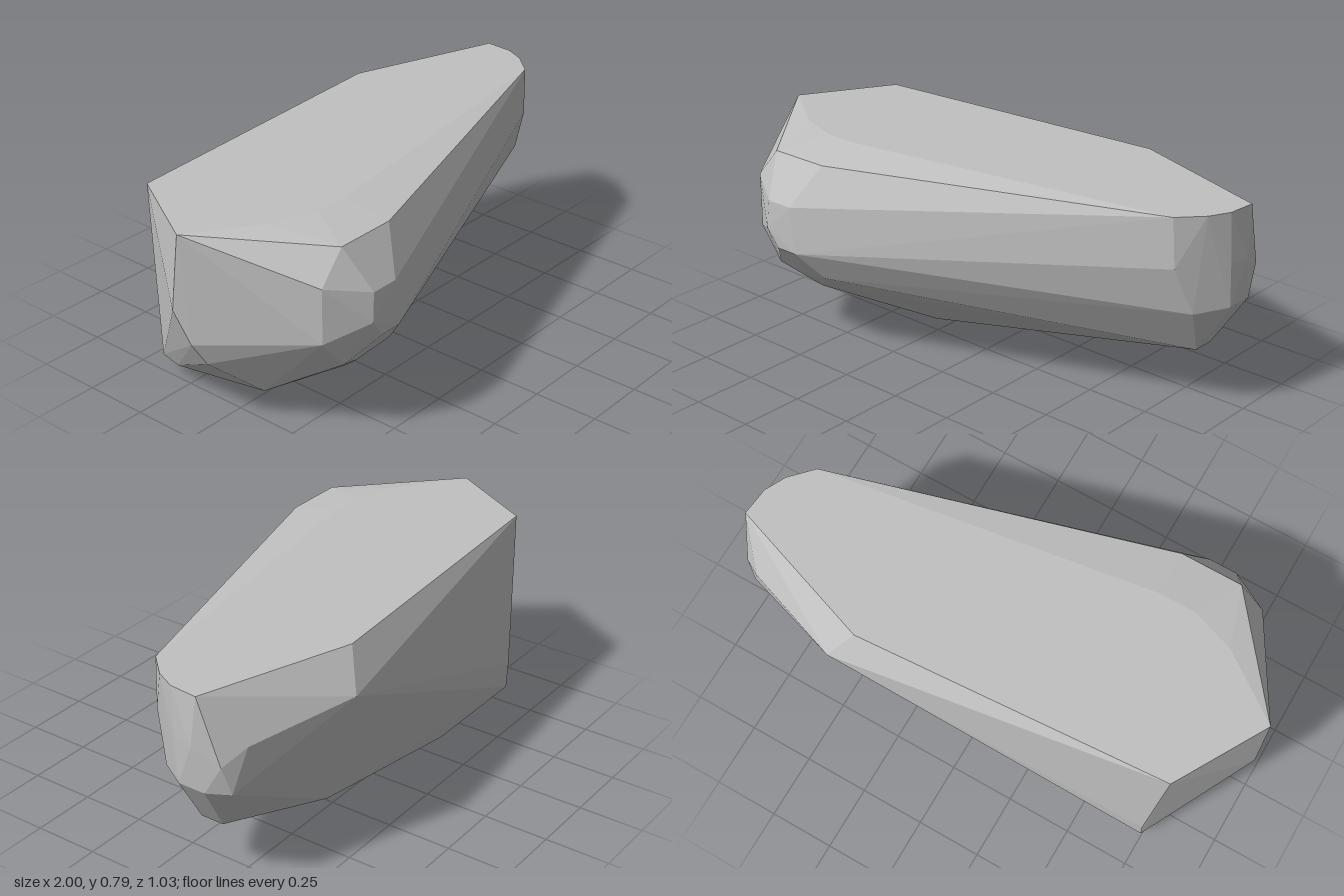
import * as THREE from 'three';
import { ConvexGeometry } from 'three/addons/geometries/ConvexGeometry.js';

export function createModel() {
  const model = new THREE.Group();
  const stone = new THREE.MeshStandardMaterial({ color: 0xc1c1c1, flatShading: true });
  stone.name = 'pale grey stone';

  // flat top outline, with a gentle bulge toward the front
  const topRim = [
    [-1, 0.79, -0.01], [-0.8, 0.79, -0.36], [0.41, 0.79, -0.44], [0.99, 0.79, -0.24],
    [0.98, 0.79, -0.13], [0.94, 0.79, -0.05], [0.86, 0.79, 0.035],
    [-0.44, 0.79, 0.23], [-0.58, 0.79, 0.23], [-0.75, 0.79, 0.17],
  ];
  // blunt front nose
  const nose = [
    [-0.67, 0.757, 0.415], [-0.43, 0.757, 0.415],
    [-0.62, 0.6, 0.51], [-0.51, 0.6, 0.51], [-0.63, 0.49, 0.515],
    [-0.58, 0.42, 0.51], [-0.49, 0.42, 0.51], [-0.77, 0.64, 0.415], [-0.77, 0.43, 0.415],
    [-0.67, 0.31, 0.42], [-0.43, 0.31, 0.42], [-0.57, 0.27, 0.39], [-0.55, 0.21, 0.32],
  ];
  // rounded narrow end
  const narrowEnd = [
    [0.87, 0.6, 0.03], [0.985, 0.6, -0.14], [1, 0.6, -0.22], [0.97, 0.54, -0.32],
    [0.89, 0.6, -0.37], [0.91, 0.42, -0.035], [0.985, 0.43, -0.15],
    [0.985, 0.43, -0.26], [0.94, 0.43, -0.34],
    [0.86, 0.23, -0.14], [0.86, 0.23, -0.23],
  ];
  // broad end and back
  const broadEnd = [
    [-1, 0.49, -0.05], [-0.97, 0.36, 0], [-0.92, 0.27, 0.02],
    [0.49, 0.65, -0.515], [-0.75, 0.18, -0.39],
  ];
  // sloping underside
  const underside = [
    [-0.75, 0.12, 0.12], [-0.77, 0.07, -0.29], [-0.75, 0.07, -0.385],
    [-0.33, 0.03, -0.35], [-0.32, 0, -0.07], [0.45, 0.17, -0.37],
  ];

  const points = [...topRim, ...nose, ...narrowEnd, ...broadEnd, ...underside]
    .map((p) => new THREE.Vector3(...p));
  const rock = new THREE.Mesh(new ConvexGeometry(points), stone);
  rock.name = 'rock';
  model.add(rock);
  return model;
}
